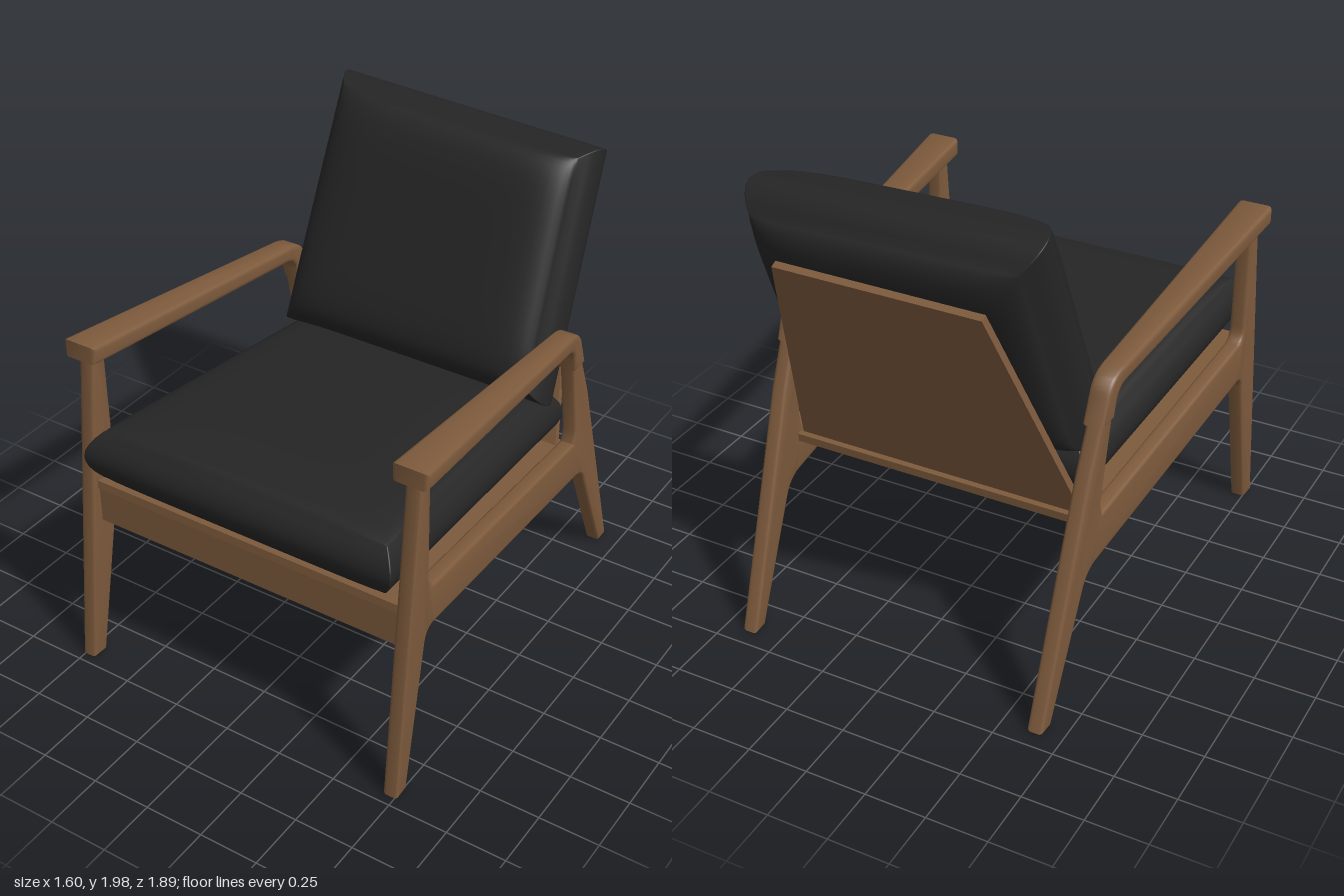
import * as THREE from 'three';
import { mergeVertices, toCreasedNormals } from 'three/addons/utils/BufferGeometryUtils.js';

const wood = new THREE.MeshStandardMaterial({ color: 0x7d5a3c });
wood.name = 'walnut wood';
const fabric = new THREE.MeshStandardMaterial({ color: 0x252525 });
fabric.name = 'charcoal fabric';

function mesh(name, geometry, material) {
  const m = new THREE.Mesh(geometry, material);
  m.name = name;
  return m;
}

// Matrix whose y axis runs along (dy, dz) and whose z axis is the face normal
function tilt(y, z, dy, dz) {
  const d = new THREE.Vector3(0, dy, dz).normalize();
  const x = new THREE.Vector3(1, 0, 0);
  return new THREE.Matrix4().makeBasis(x, d, x.clone().cross(d)).setPosition(0, y, z);
}

function warp(geometry, rule) {
  const p = geometry.attributes.position;
  const v = new THREE.Vector3();
  for (let i = 0; i < p.count; i++) {
    rule(v.fromBufferAttribute(p, i));
    p.setXYZ(i, v.x, v.y, v.z);
  }
  return geometry;
}

// Extrude a (z, y) outline sideways, centred on x = 0, with eased edges
function sideExtrude(shape, width, bevel) {
  const g = new THREE.ExtrudeGeometry(shape, {
    depth: width - 2 * bevel, bevelThickness: bevel, bevelSize: bevel,
    bevelOffset: -bevel, bevelSegments: 3, curveSegments: 8,
  });
  g.translate(0, 0, bevel - width / 2);
  return g.rotateY(-Math.PI / 2);
}

// Legs and side rail cut from one outline
function frameShape() {
  const s = new THREE.Shape();
  s.moveTo(0.96, 0);
  s.lineTo(0.815, 1.41);
  s.lineTo(-0.40, 1.295);
  s.quadraticCurveTo(-0.455, 1.29, -0.475, 1.235);
  s.lineTo(-0.60, 0.95);
  s.lineTo(-0.93, 0);
  s.lineTo(-0.86, 0);
  s.lineTo(-0.63, 0.48);
  s.quadraticCurveTo(-0.60, 0.545, -0.53, 0.552);
  s.lineTo(0.70, 0.68);
  s.quadraticCurveTo(0.755, 0.685, 0.765, 0.63);
  s.lineTo(0.89, 0);
  const h = new THREE.Path();
  h.moveTo(0.75, 1.385);
  h.lineTo(0.745, 0.93);
  h.quadraticCurveTo(0.745, 0.867, 0.69, 0.862);
  h.lineTo(-0.49, 0.742);
  h.lineTo(-0.505, 0.80);
  h.lineTo(-0.425, 1.19);
  h.quadraticCurveTo(-0.41, 1.26, -0.36, 1.265);
  s.holes.push(h);
  return s;
}

// Armrest that turns down over the back leg
function armShape() {
  const s = new THREE.Shape();
  s.moveTo(0.85, 1.375);
  s.lineTo(0.85, 1.45);
  s.lineTo(-0.37, 1.32);
  s.quadraticCurveTo(-0.46, 1.312, -0.487, 1.235);
  s.lineTo(-0.528, 1.13);
  s.lineTo(-0.437, 1.13);
  s.lineTo(-0.422, 1.19);
  s.quadraticCurveTo(-0.41, 1.245, -0.35, 1.25);
  return s;
}

// Flat panel with a trapezoid outline
function panel(lowHalf, highHalf, length, thickness, matrix) {
  const s = new THREE.Shape([
    new THREE.Vector2(-lowHalf, 0), new THREE.Vector2(lowHalf, 0),
    new THREE.Vector2(highHalf, length), new THREE.Vector2(-highHalf, length),
  ]);
  return new THREE.ExtrudeGeometry(s, { depth: thickness, bevelEnabled: false }).applyMatrix4(matrix);
}

// Stuffed cushion: a box whose thickness swells away from its seams
function cushion({ lowHalf, highHalf, halfLength, halfThick, seam, sag, matrix }) {
  let g = new THREE.BoxGeometry(2, 2, 2, 28, 28, 8);
  g.deleteAttribute('normal');
  g.deleteAttribute('uv');
  g = mergeVertices(g);
  warp(g, (p) => {
    const u = Math.sin(p.x * Math.PI / 2);
    const v = Math.sin(p.y * Math.PI / 2);
    const w = p.z;
    const swell = Math.sqrt(Math.max(0, (1 - u ** 6) * (1 - v ** 6)));
    const round = 0.05 * w * w;
    const t = (v + 1) / 2;
    p.x = u * (lowHalf + (highHalf - lowHalf) * t - round);
    p.y = v * (halfLength - round) - sag * t * u;
    p.z = w * halfThick * (seam + (1 - seam) * swell);
  });
  g.applyMatrix4(matrix);
  g.computeVertexNormals();
  return g;
}

export function createModel() {
  const chair = new THREE.Group();
  chair.name = 'armchair';

  // Side frames lean inward toward the back; arms taper the same way
  for (const [label, side] of [['left', 1], ['right', -1]]) {
    const frame = warp(sideExtrude(frameShape(), 0.066, 0.014), (p) => {
      p.x += side * (0.73 - (0.96 - p.z) * 0.048);
    });
    chair.add(mesh(label + 'SideFrame', toCreasedNormals(frame, 0.7), wood));

    const arm = warp(sideExtrude(armShape(), 0.15, 0.02), (p) => {
      const outer = 0.80 - (0.85 - p.z) * 0.0735;
      const inner = 0.65 - (0.85 - p.z) * 0.0254;
      p.x = side * (outer + inner) / 2 + p.x * (outer - inner) / 0.15;
    });
    chair.add(mesh(label + 'Armrest', toCreasedNormals(arm, 0.7), wood));
  }

  // Front apron, seat panel and tapered back panel
  const apron = new THREE.BoxGeometry(1.39, 0.15, 0.04).translate(0, 0.715, 0.825);
  chair.add(mesh('frontApron', apron, wood));
  chair.add(mesh('seatPanel', panel(0.695, 0.63, 1.385, 0.035, tilt(0.80, 0.855, -0.085, -1)), wood));
  chair.add(mesh('backPanel', panel(0.62, 0.42, 1.08, 0.03, tilt(0.70, -0.495, 0.92, -0.39)), wood));

  // Cushions
  chair.add(mesh('seatCushion', cushion({
    lowHalf: 0.692, highHalf: 0.625, halfLength: 0.71, halfThick: 0.145,
    seam: 0.68, sag: 0, matrix: tilt(0.928, 0.205, -0.085, -1),
  }), fabric));
  chair.add(mesh('backCushion', cushion({
    lowHalf: 0.625, highHalf: 0.595, halfLength: 0.53, halfThick: 0.2,
    seam: 0.55, sag: 0.02, matrix: tilt(1.465, -0.575, 0.92, -0.39),
  }), fabric));

  return chair;
}
